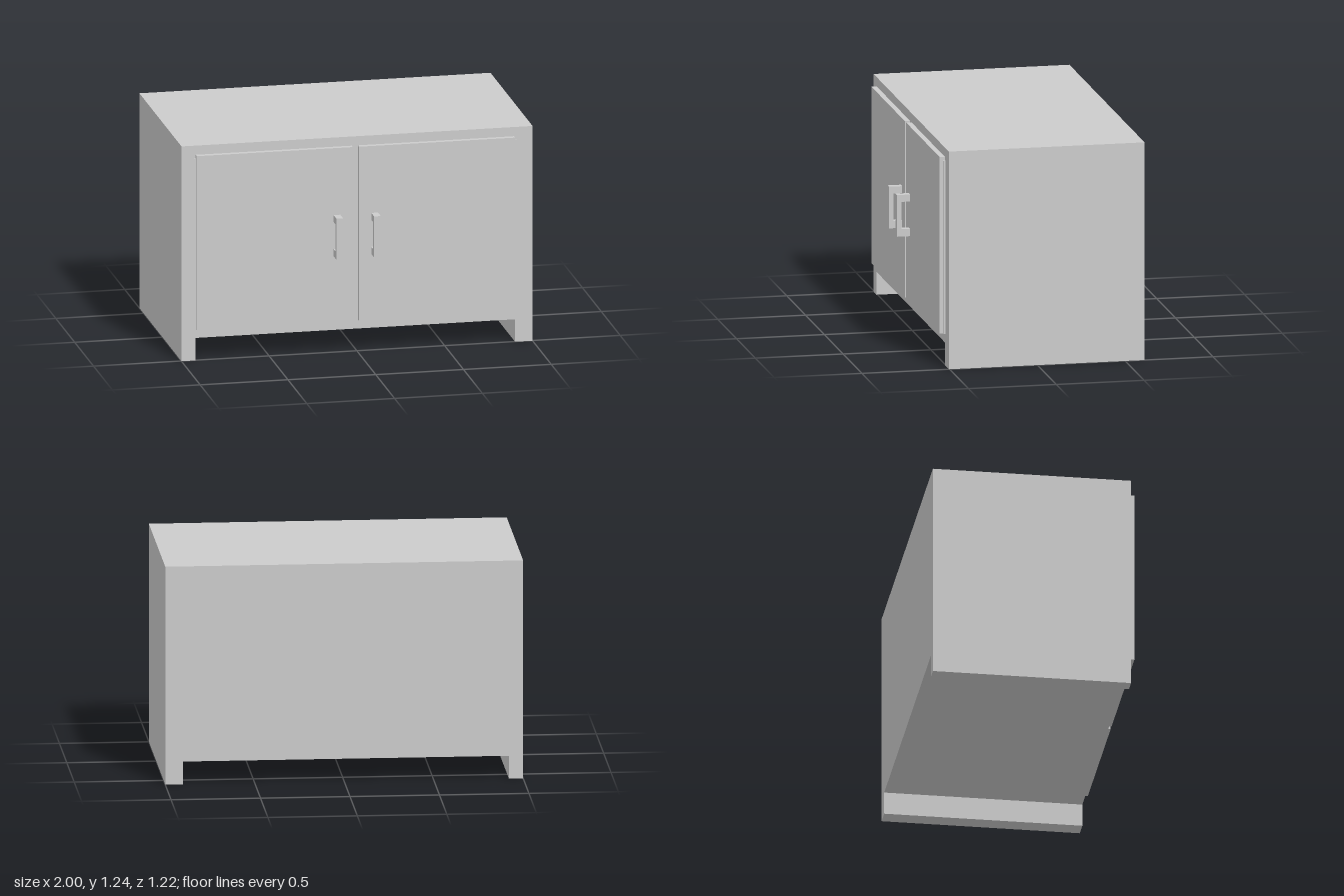
import * as THREE from 'three';

const material = new THREE.MeshStandardMaterial({ color: 0xcccccc, flatShading: true });

// Box given by its minimum and maximum corners
function box(name, [x0, y0, z0], [x1, y1, z1]) {
  const mesh = new THREE.Mesh(new THREE.BoxGeometry(x1 - x0, y1 - y0, z1 - z0), material);
  mesh.position.set((x0 + x1) / 2, (y0 + y1) / 2, (z0 + z1) / 2);
  mesh.name = name;
  return mesh;
}

// Straight-sided extrusion of an outline
function extrude(points, depth) {
  const shape = new THREE.Shape(points.map(([x, y]) => new THREE.Vector2(x, y)));
  return new THREE.ExtrudeGeometry(shape, { depth, bevelEnabled: false });
}

// C-shaped pull, its profile drawn in z and y and extruded across x
function handle(x0, x1) {
  const z = 0.535;
  const geometry = extrude([
    [z, 0.565], [0.61, 0.565], [0.61, 0.803], [z, 0.803],
    [z, 0.763], [0.585, 0.763], [0.585, 0.607], [z, 0.607],
  ], x1 - x0);
  geometry.rotateY(-Math.PI / 2);
  const mesh = new THREE.Mesh(geometry, material);
  mesh.position.x = x1;
  mesh.name = 'handle';
  return mesh;
}

export function createModel() {
  const model = new THREE.Group();
  model.name = 'cabinet';
  const front = 0.505, back = -0.61;

  // Cabinet body with a full-depth runner under each side
  const body = new THREE.Mesh(extrude([
    [-1, 0], [-0.92, 0], [-0.92, 0.13], [0.9, 0.13],
    [0.9, 0], [1, 0], [1, 1.243], [-1, 1.243],
  ], front - back), material);
  body.position.z = back;
  body.name = 'body';
  model.add(body);

  // Two doors, each with a hinge strip on its outer edge and a handle
  const doors = [
    { name: 'rightDoor', door: [-0.92, -0.03], hinge: [-0.93, -0.92], pull: [-0.14, -0.102] },
    { name: 'leftDoor', door: [0.005, 0.895], hinge: [0.895, 0.908], pull: [0.075, 0.113] },
  ];
  for (const { name, door, hinge, pull } of doors) {
    const group = new THREE.Group();
    group.name = name;
    group.add(
      box('doorPanel', [door[0], 0.182, front], [door[1], 1.19, 0.535]),
      box('hingeStrip', [hinge[0], 0.182, front], [hinge[1], 1.17, 0.517]),
      handle(...pull),
    );
    model.add(group);
  }
  return model;
}
